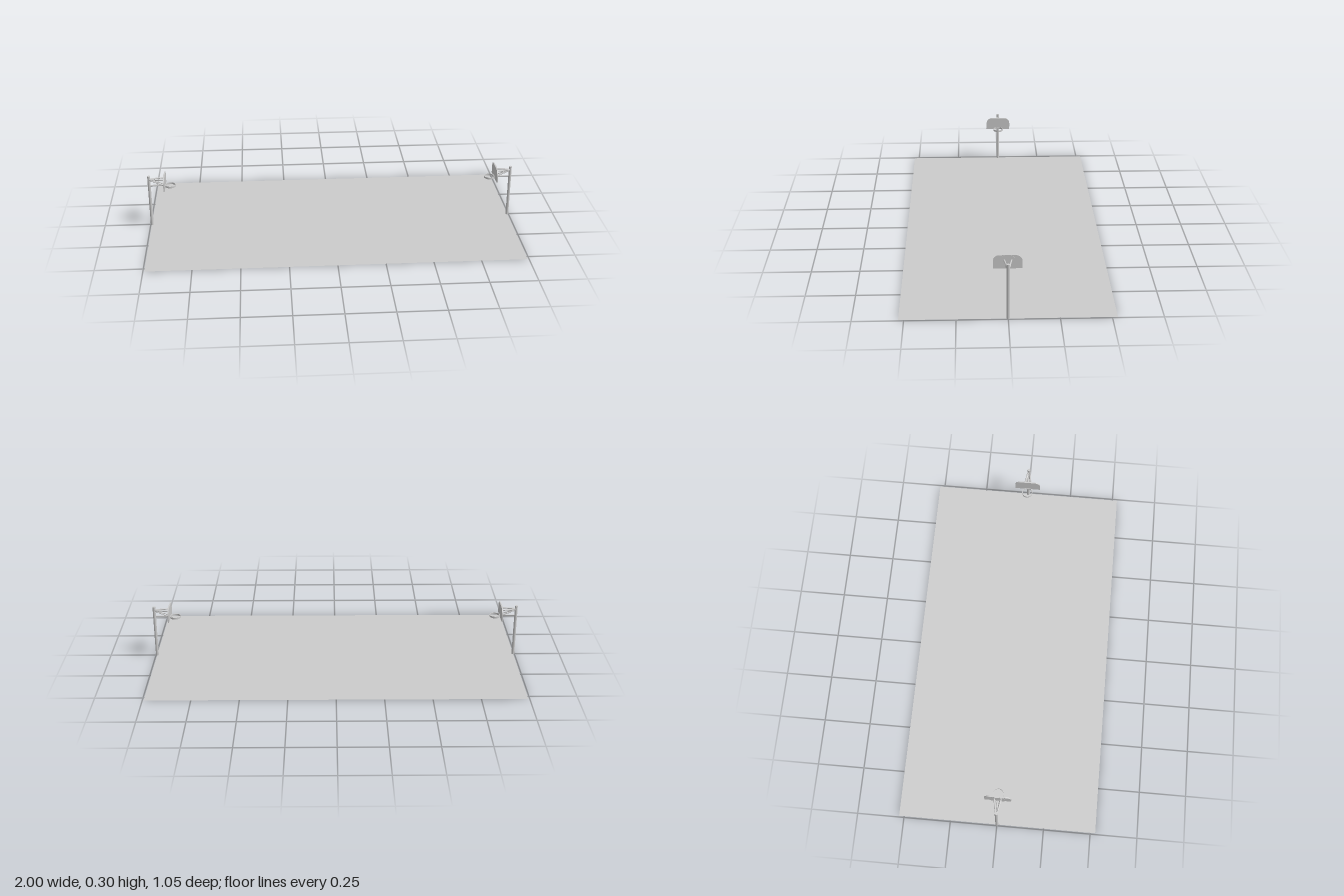
import * as THREE from 'three';

const mat = new THREE.MeshStandardMaterial({ color: 0xcccccc });
const thin = new THREE.MeshStandardMaterial({ color: 0xcccccc, side: THREE.DoubleSide });

function add(parent, name, geometry, material = mat) {
  const mesh = new THREE.Mesh(geometry, material);
  mesh.name = name;
  parent.add(mesh);
  return mesh;
}

// Round bar between two points
function bar(parent, name, from, to, radius) {
  const a = new THREE.Vector3(...from), b = new THREE.Vector3(...to);
  const mesh = add(parent, name, new THREE.CylinderGeometry(radius, radius, a.distanceTo(b), 12));
  mesh.position.copy(a).add(b).multiplyScalar(0.5);
  mesh.quaternion.setFromUnitVectors(new THREE.Vector3(0, 1, 0), b.sub(a).normalize());
  return mesh;
}

// Upright plate with a square bottom and rounded top corners, facing +x
function archedPlate(halfWidth, bottom, top, radius, depth) {
  const s = new THREE.Shape();
  s.moveTo(-halfWidth, bottom);
  s.lineTo(halfWidth, bottom);
  s.lineTo(halfWidth, top - radius);
  s.absarc(halfWidth - radius, top - radius, radius, 0, Math.PI / 2, false);
  s.absarc(radius - halfWidth, top - radius, radius, Math.PI / 2, Math.PI, false);
  s.closePath();
  const g = new THREE.ExtrudeGeometry(s, { depth, bevelEnabled: false, curveSegments: 8 });
  return g.rotateY(Math.PI / 2);
}

// Hoop standing at the -x end and facing +x
function createHoop() {
  const hoop = new THREE.Group();
  bar(hoop, 'post', [-0.992, 0, 0], [-0.992, 0.293, 0], 0.008);

  // Board with a slightly raised arch on its back
  add(hoop, 'backboard', archedPlate(0.07, 0.228, 0.299, 0.032, 0.006)).position.x = -0.911;
  add(hoop, 'backPanel', archedPlate(0.036, 0.228, 0.298, 0.026, 0.002)).position.x = -0.913;

  // Bracing from post to board
  for (const side of [-1, 1]) {
    bar(hoop, 'upperArm', [-0.99, 0.274, side * 0.004], [-0.911, 0.274, side * 0.018], 0.004);
    bar(hoop, 'diagonalBrace', [-0.99, 0.27, side * 0.003], [-0.911, 0.241, side * 0.012], 0.003);
  }
  bar(hoop, 'lowerArm', [-0.99, 0.237, 0], [-0.904, 0.237, 0], 0.004);

  // Rim band and its bracket
  const profile = [[0.026, -0.005], [0.029, -0.005], [0.029, 0.005], [0.026, 0.005], [0.026, -0.005]]
    .map(([r, y]) => new THREE.Vector2(r, y));
  const rimGeometry = new THREE.LatheGeometry(profile, 32).toNonIndexed();
  rimGeometry.computeVertexNormals();
  add(hoop, 'rim', rimGeometry, thin).position.set(-0.877, 0.235, 0);
  add(hoop, 'rimBracket', new THREE.BoxGeometry(0.006, 0.01, 0.016)).position.set(-0.904, 0.235, 0);
  return hoop;
}

export function createModel() {
  const model = new THREE.Group();
  model.name = 'basketballCourt';

  const court = add(model, 'court', new THREE.PlaneGeometry(1.986, 1.054), thin);
  court.rotation.x = -Math.PI / 2;

  // One hoop at each end, facing each other
  for (const [name, turn] of [['rightHoop', 0], ['leftHoop', Math.PI]]) {
    const hoop = createHoop();
    hoop.name = name;
    hoop.rotation.y = turn;
    model.add(hoop);
  }
  return model;
}
